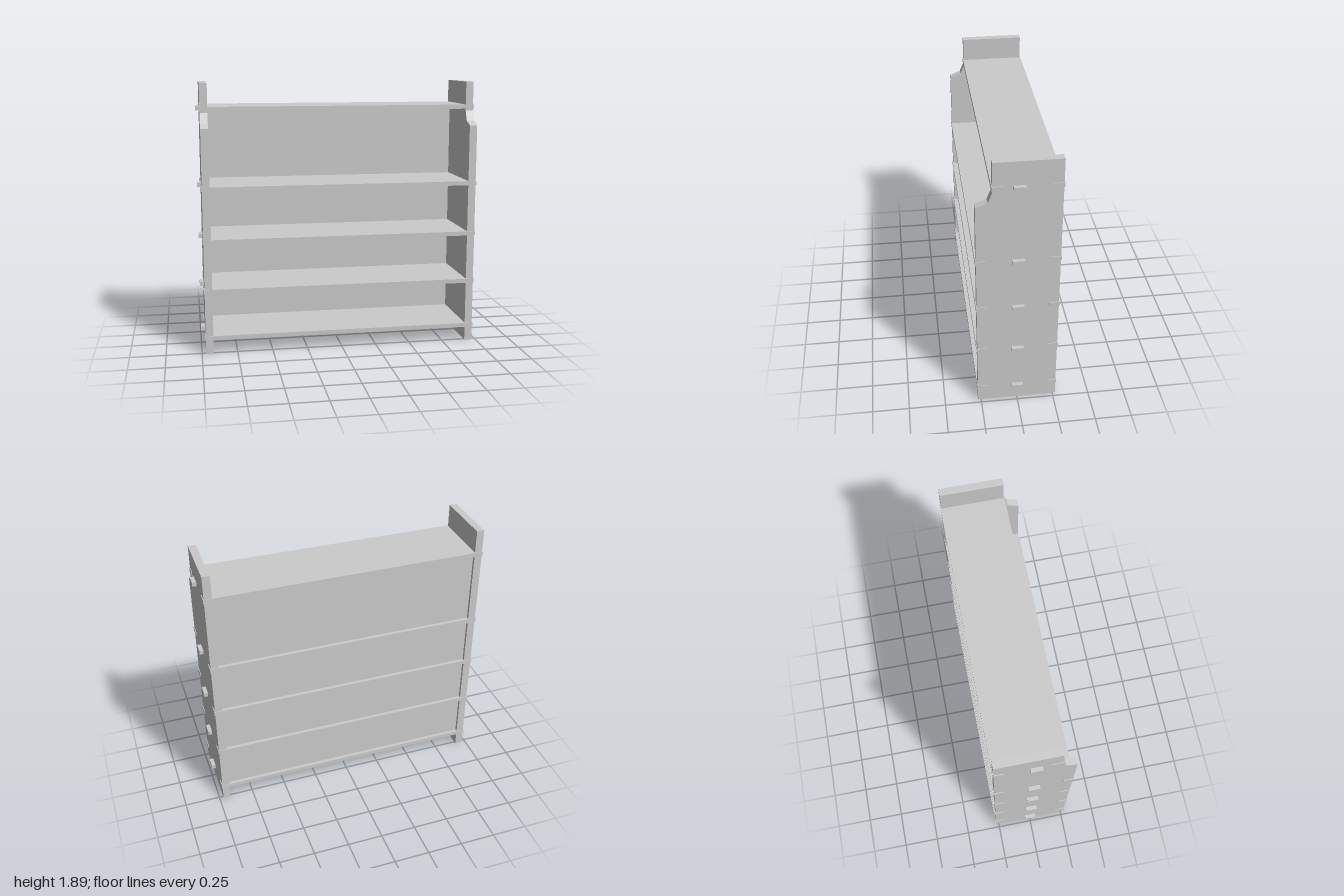
import * as THREE from 'three';

export function createModel() {
  const model = new THREE.Group();
  model.name = 'bookshelf';
  const material = new THREE.MeshStandardMaterial({ color: 0xcccccc, flatShading: true });

  function box(name, parent, x0, x1, y0, y1, z0, z1) {
    const mesh = new THREE.Mesh(new THREE.BoxGeometry(x1 - x0, y1 - y0, z1 - z0), material);
    mesh.position.set((x0 + x1) / 2, (y0 + y1) / 2, (z0 + z1) / 2);
    mesh.name = name;
    parent.add(mesh);
  }

  const inner = 0.918, outer = 0.972, depth = 0.27, thick = 0.03;

  // Side panels: (z, y) profile with a stepped front shoulder
  const profile = [
    [-depth, 0], [depth, 0], [depth, 1.583], [0.193, 1.613],
    [0.165, 1.683], [0.165, 1.888], [-depth, 1.888],
  ].map(([z, y]) => new THREE.Vector2(z, y));
  const sideGeometry = new THREE.ExtrudeGeometry(new THREE.Shape(profile), {
    depth: outer - inner, bevelEnabled: false,
  });
  sideGeometry.rotateY(-Math.PI / 2);
  for (const [name, x] of [['leftSide', outer], ['rightSide', -inner]]) {
    const side = new THREE.Mesh(sideGeometry, material);
    side.position.x = x;
    side.name = name;
    model.add(side);
  }

  // Shelves with through tenons and lapped corners; the top one is shallower
  const shelfBottoms = [0.1, 0.435, 0.788, 1.155, 1.695];
  shelfBottoms.forEach((y, i) => {
    const shelf = new THREE.Group();
    shelf.name = 'shelf' + (i + 1);
    model.add(shelf);
    const front = i === 4 ? 0.17 : 0.275, back = -0.275, lap = 0.07;
    const top = y + thick;
    box('board', shelf, -inner, inner, y, top, back, front);
    for (const s of [-1, 1]) {
      const piece = (name, reach, z0, z1) => {
        const a = s * (inner - 0.01), b = s * reach;
        box(name, shelf, Math.min(a, b), Math.max(a, b), y, top, z0, z1);
      };
      piece('tenon', 1, -0.04, 0.04);
      piece('frontLap', 0.977, front - lap, front);
      piece('backLap', 0.977, back, back + lap);
    }
  });

  // Back panels, slightly recessed between neighbouring shelves
  for (let i = 0; i < shelfBottoms.length - 1; i++) {
    box('backPanel' + (i + 1), model, -inner, inner,
      shelfBottoms[i] + thick, shelfBottoms[i + 1], -0.25, -0.225);
  }
  return model;
}
